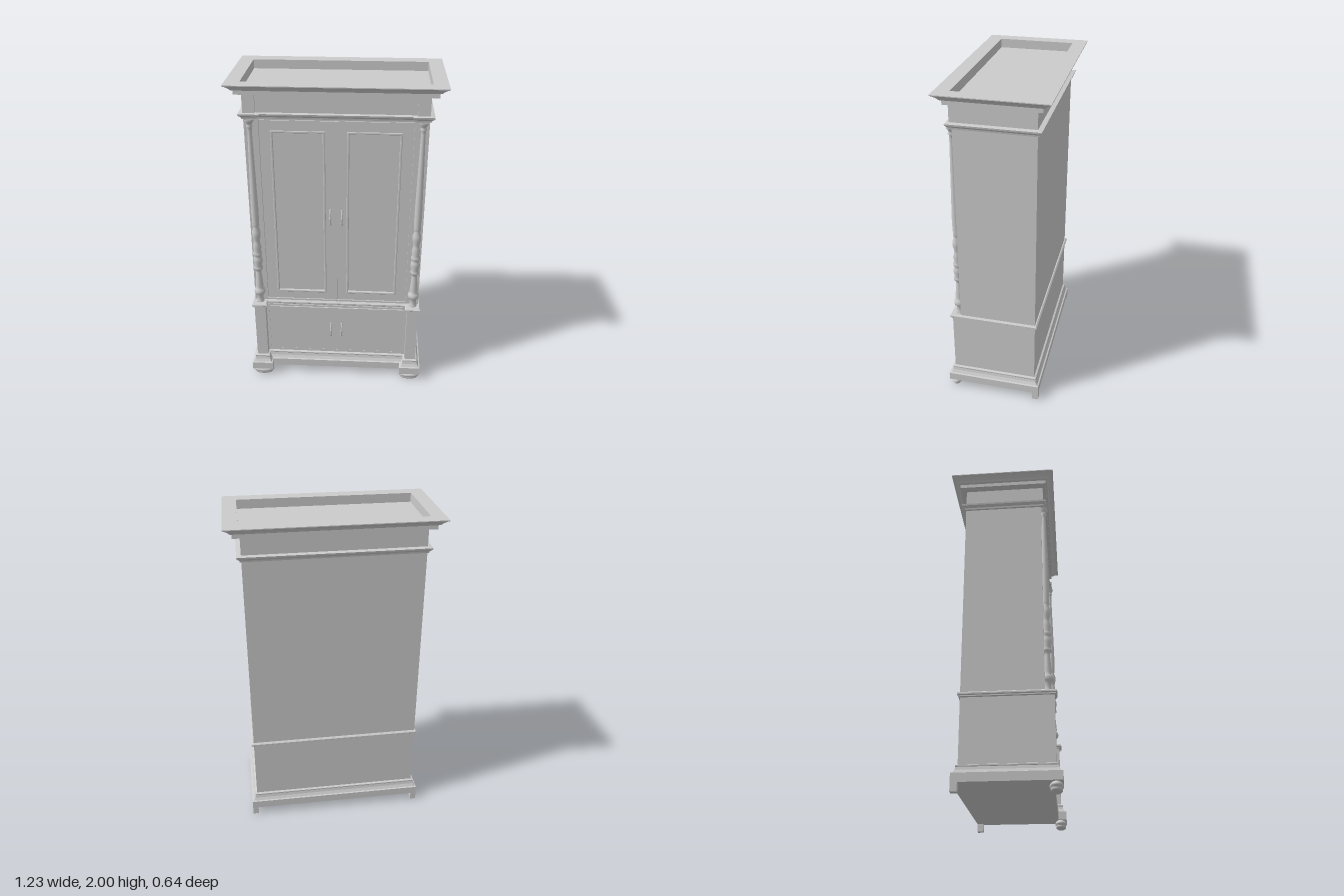
import * as THREE from 'three';

const mat = new THREE.MeshStandardMaterial({ color: 0xcccccc });
const lathed = new THREE.MeshStandardMaterial({ color: 0xcccccc, side: THREE.DoubleSide });

function add(parent, name, geo, x = 0, y = 0, z = 0, m = mat) {
  const mesh = new THREE.Mesh(geo, m);
  mesh.name = name;
  mesh.position.set(x, y, z);
  parent.add(mesh);
  return mesh;
}

// Box from its limits on each axis
function block(parent, name, x0, x1, y0, y1, z0, z1) {
  return add(parent, name, new THREE.BoxGeometry(x1 - x0, y1 - y0, z1 - z0),
    (x0 + x1) / 2, (y0 + y1) / 2, (z0 + z1) / 2);
}

// Moulded tier: a plan with projecting front corners, swept through [projection, y] steps.
// w = half width, s = half width of the set-back centre, f / c / b = corner, centre and back z
function tier(plan, profile) {
  const { w, s, f, c, b } = plan;
  const pos = [], idx = [];
  for (const [p, y] of profile) {
    const W = w + p, S = s - p, F = f + p, C = c + p, B = b - p;
    for (const [x, z] of [[-W, F], [-S, F], [-S, C], [S, C], [S, F], [W, F], [W, B], [-W, B]]) pos.push(x, y, z);
  }
  const quad = (i, j, k, l) => idx.push(i, j, k, i, k, l);
  for (let r = 0; r < profile.length - 1; r++) {
    for (let i = 0; i < 8; i++) {
      const j = (i + 1) % 8, o = r * 8;
      quad(o + i, o + j, o + 8 + j, o + 8 + i);
    }
  }
  const t = (profile.length - 1) * 8;
  for (const [i, j, k, l] of [[0, 1, 2, 7], [2, 3, 6, 7], [3, 4, 5, 6]]) {
    quad(t + i, t + j, t + k, t + l);
    quad(l, k, j, i);
  }
  const g = new THREE.BufferGeometry();
  g.setAttribute('position', new THREE.Float32BufferAttribute(pos, 3));
  g.setIndex(idx);
  const flat = g.toNonIndexed();
  flat.computeVertexNormals();
  return flat;
}

// Rectangular frame with a rectangular opening, extruded forward
function frame(x0, x1, y0, y1, ix0, ix1, iy0, iy1, depth, bevel = 0) {
  const rect = (T, a, b, c, d) => {
    const p = new T();
    p.moveTo(a, c); p.lineTo(b, c); p.lineTo(b, d); p.lineTo(a, d); p.closePath();
    return p;
  };
  const shape = rect(THREE.Shape, x0, x1, y0, y1);
  shape.holes.push(rect(THREE.Path, ix0, ix1, iy0, iy1));
  return new THREE.ExtrudeGeometry(shape, {
    depth, bevelEnabled: bevel > 0, bevelSize: bevel, bevelThickness: bevel, bevelSegments: 2,
  });
}

function turned(points, segments) {
  return new THREE.LatheGeometry(points.map(([r, y]) => new THREE.Vector2(r, y)), segments);
}

// Bow handle with end rosettes and a swollen grip
function handle(parent, x, y, z) {
  const g = new THREE.Group();
  g.name = 'handle';
  g.position.set(x, y, z);
  const curve = new THREE.CatmullRomCurve3([[-0.042, 0], [-0.036, 0.014], [0, 0.022], [0.036, 0.014], [0.042, 0]]
    .map(([v, d]) => new THREE.Vector3(0, v, d)));
  add(g, 'handleBow', new THREE.TubeGeometry(curve, 16, 0.004, 8));
  const grip = add(g, 'handleGrip', new THREE.SphereGeometry(0.007, 10, 8), 0, 0, 0.021);
  grip.scale.y = 2.2;
  for (const e of [-1, 1]) {
    const plate = add(g, 'handleRosette', new THREE.SphereGeometry(0.008, 10, 8), 0, e * 0.044, 0.001);
    plate.scale.set(1, 1.3, 0.5);
  }
  parent.add(g);
}

export function createModel() {
  const model = new THREE.Group();
  model.name = 'wardrobe';

  // Base and lower chest, with projecting corner blocks
  const lower = { w: 0.525, s: 0.455, f: 0.285, c: 0.235, b: -0.235 };
  add(model, 'plinth', tier(lower, [[0.033, 0.05], [0.033, 0.1], [0.024, 0.103], [0.014, 0.12], [0.01, 0.137],
    [0.012, 0.14], [0.012, 0.147], [0, 0.152]]));
  add(model, 'lowerChest', tier(lower, [[0, 0.15], [0, 0.535]]));
  add(model, 'waistMoulding', tier(lower, [[0, 0.53], [0.008, 0.534], [0.008, 0.54], [0.014, 0.545],
    [0.014, 0.553], [0.006, 0.56]]));

  // Drawer front with a fine border
  add(model, 'drawerBorder', frame(-0.45, 0.45, 0.158, 0.528, -0.437, 0.437, 0.173, 0.515, 0.004), 0, 0, 0.235);
  block(model, 'drawerFront', -0.434, 0.434, 0.176, 0.512, 0.23, 0.242);

  // Upper carcass and front stiles
  block(model, 'carcass', -0.525, 0.525, 0.555, 1.795, -0.235, 0.218);
  block(model, 'topRail', -0.455, 0.455, 1.782, 1.795, 0.21, 0.233);
  block(model, 'bottomRail', -0.455, 0.455, 0.555, 0.572, 0.21, 0.233);

  // Moulding, frieze and cornice with a sunken top
  const upper = { w: 0.525, s: 0.455, f: 0.24, c: 0.228, b: -0.235 };
  add(model, 'headMoulding', tier(upper, [[0, 1.787], [0.008, 1.79], [0.01, 1.8], [0.024, 1.812], [0.026, 1.822],
    [0, 1.826]]));
  add(model, 'frieze', tier({ ...upper, f: 0.247, c: 0.233 }, [[0, 1.82], [0, 1.94]]));
  add(model, 'cornice', tier({ w: 0.525, s: 0.3, f: 0.224, c: 0.224, b: -0.228 }, [[0.02, 1.933], [0.042, 1.935],
    [0.042, 1.958], [0.052, 1.962], [0.06, 1.972], [0.076, 1.986], [0.091, 1.995], [0.091, 2],
    [0.006, 2], [0.006, 1.945]]));

  // Turned column: base, balusters, rings, long tapering shaft, capital
  const column = turned([[0, 0.556], [0.026, 0.556], [0.026, 0.565], [0.02, 0.575], [0.02, 0.61], [0.032, 0.62],
    [0.035, 0.635], [0.032, 0.652], [0.022, 0.66], [0.025, 0.675], [0.017, 0.78], [0.018, 0.795], [0.028, 0.803],
    [0.028, 0.815], [0.022, 0.825], [0.03, 0.86], [0.026, 0.885], [0.02, 0.895], [0.028, 0.905], [0.028, 0.92],
    [0.021, 0.93], [0.027, 0.96], [0.02, 0.99], [0.019, 1.01], [0.026, 1.04], [0.026, 1.07], [0.016, 1.1],
    [0.022, 1.11], [0.02, 1.125], [0.023, 1.2], [0.013, 1.72], [0.014, 1.74], [0.02, 1.748], [0.014, 1.756],
    [0.017, 1.765], [0.026, 1.78], [0.026, 1.79]], 16);
  const bun = turned([[0, 0], [0.04, 0], [0.058, 0.006], [0.062, 0.014], [0.056, 0.019], [0.07, 0.026], [0.072, 0.034],
    [0.064, 0.042], [0.05, 0.046], [0.05, 0.055], [0, 0.055]], 24);

  for (const side of [-1, 1]) {
    const sx = (a, b) => (side > 0 ? [a, b] : [-b, -a]);
    block(model, 'frontStile', ...sx(0.442, 0.525), 0.555, 1.795, 0.21, 0.233);
    add(model, 'column', column, side * 0.49, 0, 0.247, lathed);

    // Feet: flattened buns in front, plain blocks behind
    const foot = add(model, 'frontFoot', bun, side * 0.49, 0, 0.281, lathed);
    foot.scale.z = 0.52;
    block(model, 'backFoot', ...sx(0.522, 0.558), 0, 0.052, -0.268, -0.23);

    // Door: leaf with opening, sunken panel, raised panel moulding
    const door = new THREE.Group();
    door.name = side > 0 ? 'leftDoor' : 'rightDoor';
    const [x0, x1] = sx(0.002, 0.437), [p0, p1] = sx(0.064, 0.376);
    add(door, 'doorLeaf', frame(x0, x1, 0.575, 1.779, p0, p1, 0.627, 1.717, 0.017), 0, 0, 0.214);
    block(door, 'doorPanel', p0, p1, 0.627, 1.717, 0.21, 0.222);
    add(door, 'panelMoulding', frame(p0 + 0.002, p1 - 0.002, 0.629, 1.715, p0 + 0.009, p1 - 0.009, 0.636, 1.708,
      0.012, 0.003), 0, 0, 0.221);
    handle(door, side * 0.035, 1.17, 0.231);
    model.add(door);
    handle(model, side * 0.035, 0.342, 0.242);
  }
  // Strip covering the gap between the doors
  block(model, 'meetingStrip', -0.006, 0.006, 0.575, 1.779, 0.215, 0.235);

  return model;
}
